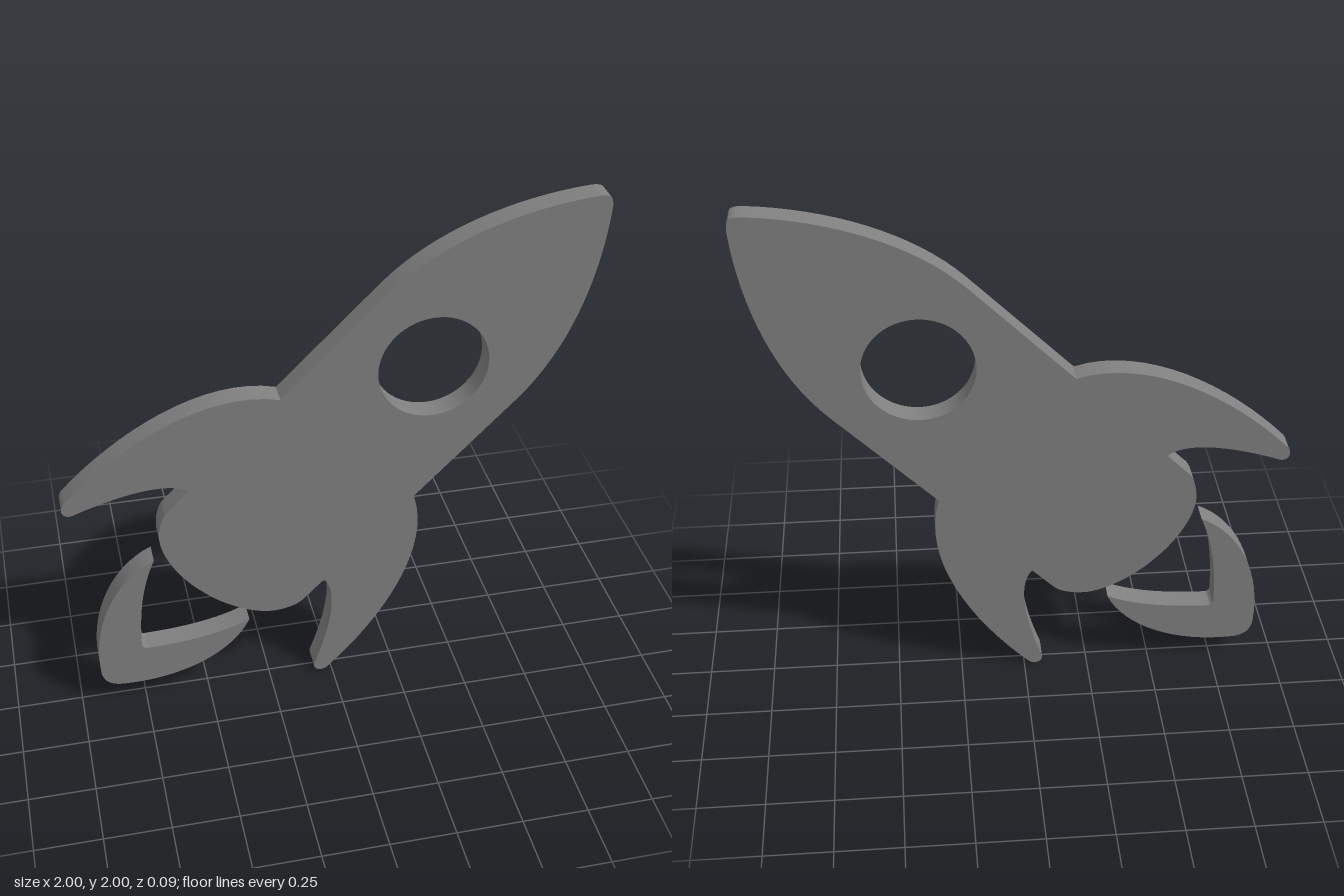
import * as THREE from 'three';
import { toCreasedNormals } from 'three/addons/utils/BufferGeometryUtils.js';

const DEPTH = 0.09;

// Samples half an outline (2 numbers = line, 4 = quadratic, 6 = cubic)
// and completes it by mirroring across the diagonal axis y = x + 1.
function mirroredShape(start, segments) {
  const path = new THREE.Path();
  path.moveTo(...start);
  for (const s of segments) {
    if (s.length === 2) path.lineTo(...s);
    else if (s.length === 4) path.quadraticCurveTo(...s);
    else path.bezierCurveTo(...s);
  }
  const half = path.getPoints(16);
  const other = half.slice(1, -1).reverse().map(p => new THREE.Vector2(p.y - 1, p.x + 1));
  return new THREE.Shape([...half, ...other]);
}

function plate(name, shape, material) {
  const geometry = new THREE.ExtrudeGeometry(shape, { depth: DEPTH, bevelEnabled: false, curveSegments: 32 });
  geometry.translate(0, 0, -DEPTH / 2);
  const mesh = new THREE.Mesh(toCreasedNormals(geometry, Math.PI / 6), material);
  mesh.name = name;
  return mesh;
}

export function createModel() {
  const group = new THREE.Group();
  group.name = 'rocket';
  const material = new THREE.MeshStandardMaterial({ color: 0x808080 });

  // Hull with fins, from nose tip to the middle of the tail
  const hull = mirroredShape([0.991, 1.991], [
    [0.98, 2.0, 0.95, 2.0],                          // rounded nose
    [0.66, 1.98, 0.38, 1.88, 0.2, 1.704],            // nose curve
    [-0.187, 1.32],                                  // straight flank
    [-0.45, 1.4, -0.77, 1.21, -0.988, 0.985],        // fin outer edge
    [-1.012, 0.96, -0.998, 0.92, -0.962, 0.93],      // fin tip
    [-0.8, 0.99, -0.61, 1.033, -0.535, 0.97],        // fin inner edge
    [-0.62, 0.885],
    [-0.645, 0.86, -0.655, 0.81, -0.655, 0.77],      // tail corner
    [-0.655, 0.68, -0.575, 0.555, -0.507, 0.493],    // rounded tail
  ]);
  // Round porthole
  hull.holes.push(new THREE.Path().absarc(0.378, 1.381, 0.207, 0, Math.PI * 2, true));
  group.add(plate('hullWithFins', hull, material));

  // Separate exhaust flame
  const flame = mirroredShape([-0.746, 0.254], [
    [-0.752, 0.259, -0.752, 0.272],                  // inner corner
    [-0.75, 0.42, -0.735, 0.55, -0.681, 0.672],      // inner edge
    [-0.84, 0.6, -0.935, 0.39, -0.918, 0.16],        // outer edge
    [-0.916, 0.128, -0.896, 0.104],                  // rounded end
  ]);
  group.add(plate('flame', flame, material));

  return group;
}
